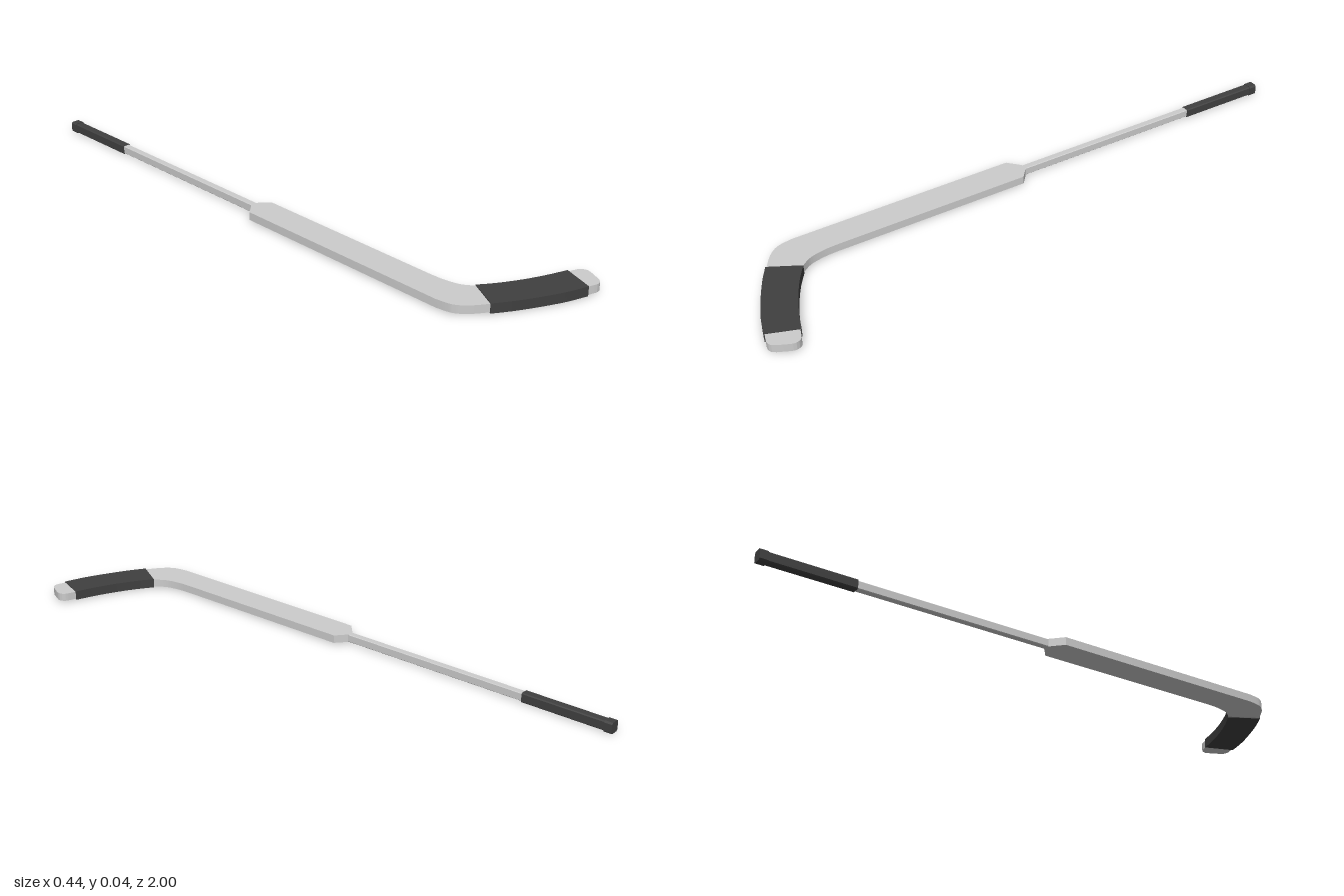
import * as THREE from 'three';
import { toCreasedNormals } from 'three/addons/utils/BufferGeometryUtils.js';

const grey = new THREE.MeshStandardMaterial({ color: 0xcccccc });
const dark = new THREE.MeshStandardMaterial({ color: 0x404040 });
const SHAFT_X = -0.167;
const MID_Y = 0.018;

const pts = (list) => list.map(([x, z]) => new THREE.Vector2(x, z));

// Extrudes a plan outline (x, z) into a slab of the given thickness centred on MID_Y
function slab(name, shape, thickness, material) {
  const geometry = new THREE.ExtrudeGeometry(shape, { depth: thickness, bevelEnabled: false, curveSegments: 8 });
  geometry.rotateX(Math.PI / 2);
  geometry.translate(0, MID_Y + thickness / 2, 0);
  const mesh = new THREE.Mesh(toCreasedNormals(geometry, 0.5), material);
  mesh.name = name;
  return mesh;
}

// Bar along z with chamfered long edges
function bar(name, width, height, chamfer, z0, z1, material) {
  const w = width / 2, h = height / 2, c = chamfer;
  const shape = new THREE.Shape(pts([
    [-w + c, -h], [w - c, -h], [w, -h + c], [w, h - c],
    [w - c, h], [-w + c, h], [-w, h - c], [-w, -h + c],
  ]));
  const geometry = new THREE.ExtrudeGeometry(shape, { depth: z1 - z0, bevelEnabled: false });
  geometry.translate(SHAFT_X, MID_Y, z0);
  const mesh = new THREE.Mesh(geometry, material);
  mesh.name = name;
  return mesh;
}

export function createModel() {
  const group = new THREE.Group();
  group.name = 'goalkeeperStick';

  // Wide paddle running through the heel into the curved blade
  const body = new THREE.Shape();
  body.moveTo(-0.156, -0.045);
  body.lineTo(-0.12, -0.015);
  body.lineTo(-0.12, 0.64);
  body.splineThru(pts([[-0.117, 0.69], [-0.105, 0.74], [-0.08, 0.777]]));
  body.splineThru(pts([[-0.03, 0.811], [0.04, 0.848], [0.11, 0.877], [0.19, 0.904]]));
  body.splineThru(pts([[0.21, 0.913], [0.218, 0.932], [0.212, 0.952]]));
  body.lineTo(0.197, 0.984);
  body.splineThru(pts([[0.187, 0.996], [0.172, 1.0], [0.155, 0.996]]));
  body.splineThru(pts([[0.07, 0.97], [-0.005, 0.938], [-0.075, 0.903], [-0.132, 0.869]]));
  body.splineThru(pts([[-0.18, 0.836], [-0.208, 0.8], [-0.218, 0.75]]));
  body.lineTo(-0.218, -0.008);
  body.lineTo(-0.178, -0.045);
  group.add(slab('paddleAndBlade', body, 0.026, grey));

  // Tape wrapped around the blade, slightly proud of it
  const tape = new THREE.Shape();
  tape.moveTo(-0.08, 0.774);
  tape.splineThru(pts([[-0.029, 0.808], [0.041, 0.845], [0.111, 0.874], [0.174, 0.895]]));
  tape.lineTo(0.138, 0.994);
  tape.splineThru(pts([[0.069, 0.973], [-0.006, 0.941], [-0.076, 0.906], [-0.133, 0.872]]));
  tape.closePath();
  group.add(slab('bladeTape', tape, 0.031, dark));

  // Narrow shaft, taped grip and end knob
  group.add(bar('shaft', 0.022, 0.026, 0.002, -0.71, -0.04, grey));
  group.add(bar('gripTape', 0.028, 0.031, 0.003, -0.98, -0.7, dark));
  group.add(bar('endKnob', 0.034, 0.036, 0.005, -1, -0.974, dark));

  return group;
}
